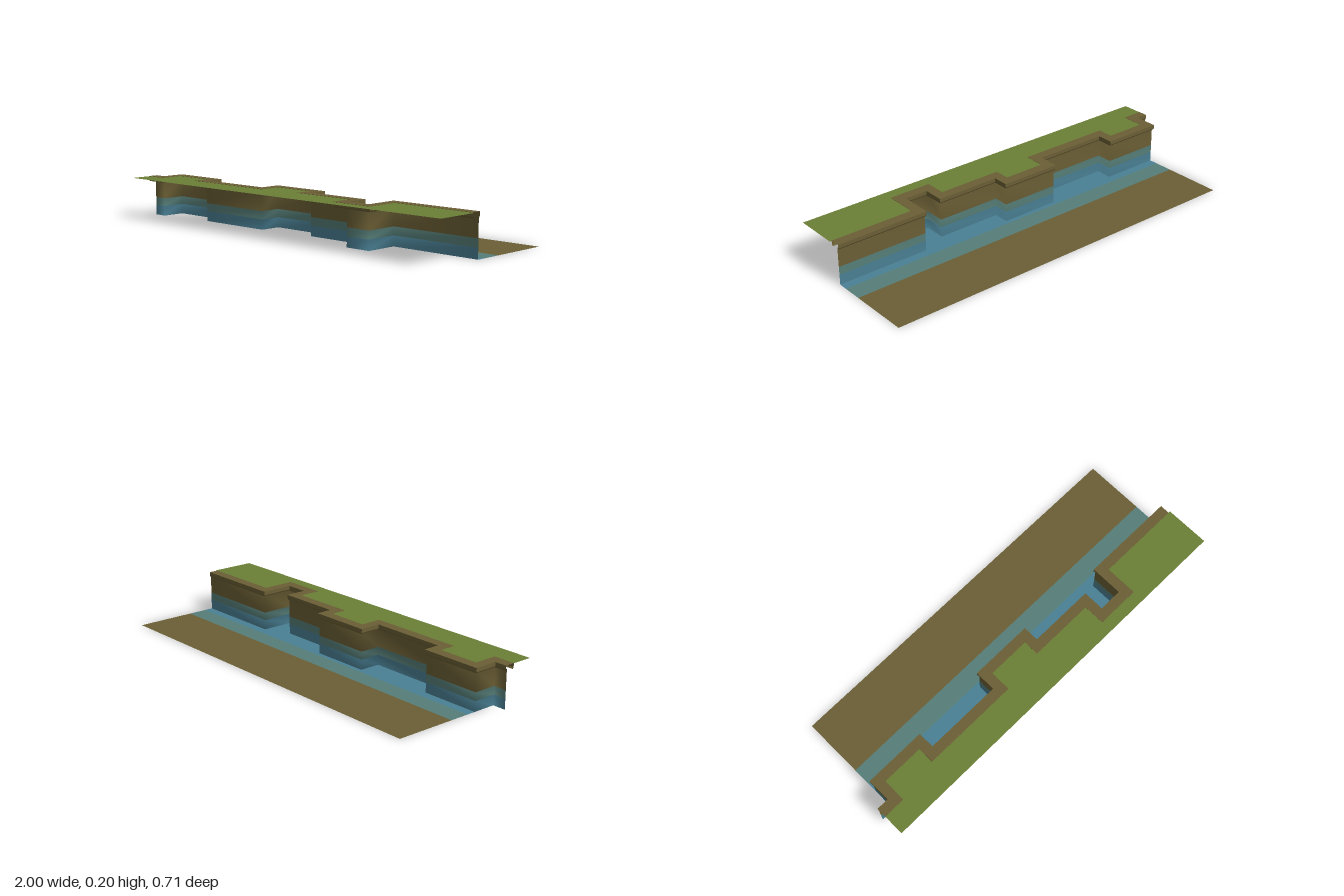
import * as THREE from 'three';
import { mergeVertices } from 'three/addons/utils/BufferGeometryUtils.js';

const paint = (name, color) =>
  new THREE.MeshStandardMaterial({ name, color, side: THREE.DoubleSide });

// Stepped cliff rim as [x, z]; land lies on the +z side
const RIM = [
  [-1, 0.2], [-0.94, 0.2], [-0.94, 0.083], [-0.629, 0.083], [-0.629, 0.166],
  [-0.242, 0.166], [-0.242, 0.06], [0.073, 0.06], [0.073, 0.139], [0.4, 0.139],
  [0.4, 0.246], [0.517, 0.246], [0.517, 0.083], [0.99, 0.083],
];

// Rim moved inland by a distance, with square mitred corners
function offsetRim(dist) {
  const normals = RIM.slice(1).map(([x, z], i) => [
    -Math.sign(z - RIM[i][1]), Math.sign(x - RIM[i][0]),
  ]);
  return RIM.map(([x, z], i) => {
    const a = normals[Math.max(i - 1, 0)];
    const b = normals[Math.min(i, normals.length - 1)];
    const nx = a[0] || b[0], nz = a[1] || b[1];
    return [x + nx * dist, z + nz * dist];
  });
}

// Sweep a profile of [inland offset, height] along the rim
function sweep(profile, smooth) {
  const rows = profile.map(([d, y]) => offsetRim(d).map(([x, z]) => [x, y, z]));
  const pos = [];
  for (let j = 0; j < rows.length - 1; j++) {
    for (let i = 0; i < RIM.length - 1; i++) {
      const a = rows[j][i], b = rows[j][i + 1], c = rows[j + 1][i + 1], d = rows[j + 1][i];
      pos.push(...a, ...d, ...c, ...a, ...c, ...b);
    }
  }
  let geo = new THREE.BufferGeometry();
  geo.setAttribute('position', new THREE.Float32BufferAttribute(pos, 3));
  if (smooth) geo = mergeVertices(geo);
  geo.computeVertexNormals();
  return geo;
}

// Horizontal sheet from an [x, z] outline
function sheet(outline, y) {
  const shape = new THREE.Shape(outline.map(([x, z]) => new THREE.Vector2(x, -z)));
  return new THREE.ShapeGeometry(shape).rotateX(-Math.PI / 2).translate(0, y, 0);
}

export function createModel() {
  const group = new THREE.Group();
  const earth = paint('earth brown', 0x6b5f35);
  const water = paint('water blue', 0x4a8094);
  const shallow = paint('shallow teal', 0x567e78);
  const grass = paint('grass green', 0x6a8036);
  const add = (name, geo, mat) => {
    const mesh = new THREE.Mesh(geo, mat);
    mesh.name = name;
    group.add(mesh);
  };

  const INSET = 0.007, LEFT = -0.933, RIGHT = 0.99, BACK = -0.355, FRONT = 0.355;

  // Cliff wall in three height bands
  const band = (y0, y1) => sweep([[INSET, y0], [INSET, y1]], true);
  add('wallWaterBand', band(0, 0.05), water);
  add('wallShallowBand', band(0.05, 0.09), shallow);
  add('wallEarthBand', band(0.09, 0.188), earth);

  // Overhanging rim with bevelled lower lips, open underneath
  add('cliffRim', sweep([
    [INSET, 0.178], [0.004, 0.178], [0, 0.185], [0, 0.204],
    [0.05, 0.204], [0.05, 0.185], [0.045, 0.178],
  ], false), earth);

  // Grass plateau behind the rim
  const inner = offsetRim(0.05);
  inner[inner.length - 1][0] = 1;
  add('grassTop', sheet([...inner, [1, FRONT], [-1, FRONT]], 0.203), grass);

  // Low ground: bank, shallows, then water up to the wall foot
  const strip = (z0, z1) => sheet([[LEFT, z0], [RIGHT, z0], [RIGHT, z1], [LEFT, z1]], 0);
  add('bank', strip(BACK, -0.052), earth);
  add('shallows', strip(-0.052, 0.045), shallow);
  const foot = offsetRim(INSET).slice(2);
  add('waterBed', sheet([[LEFT, 0.045], ...foot, [RIGHT, 0.045]], 0), water);

  return group;
}
